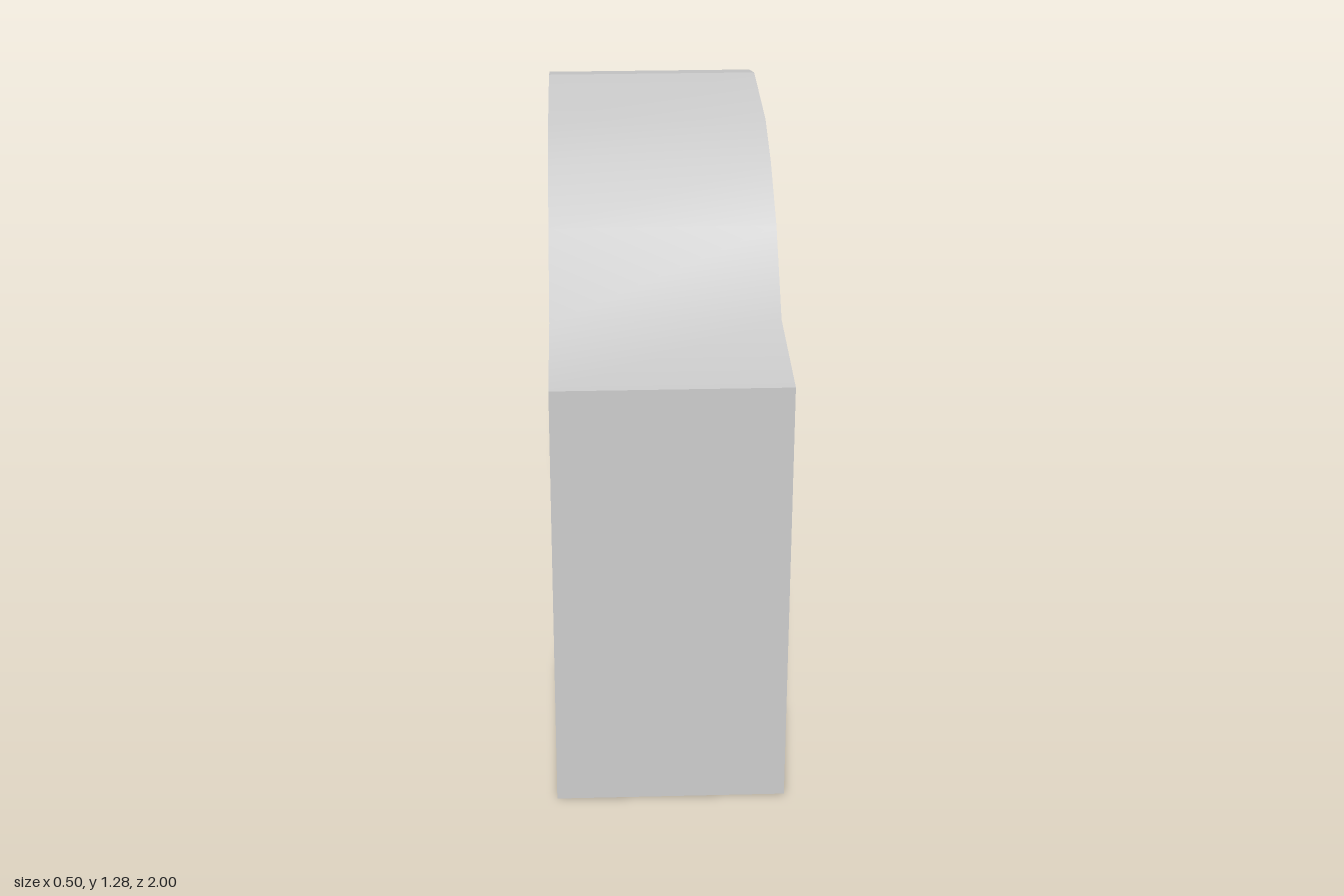
import * as THREE from 'three';

const HALF = 0.25; // half width of the arch in x
const material = new THREE.MeshStandardMaterial({ color: 0xcccccc, side: THREE.DoubleSide });

// Smoothly shaded strip across the width, following a [z, y] profile
function strip(name, points) {
  const pos = [], index = [];
  points.forEach(([z, y], i) => {
    pos.push(-HALF, y, z, HALF, y, z);
    const a = i * 2;
    if (i < points.length - 1) index.push(a, a + 1, a + 3, a, a + 3, a + 2);
  });
  const geometry = new THREE.BufferGeometry();
  geometry.setAttribute('position', new THREE.Float32BufferAttribute(pos, 3));
  geometry.setIndex(index);
  geometry.computeVertexNormals();
  const mesh = new THREE.Mesh(geometry, material);
  mesh.name = name;
  return mesh;
}

// Flat side wall cut to the full arch outline
function sideWall(name, outline, side) {
  const shape = new THREE.Shape(outline.map(([z, y]) => new THREE.Vector2(-side * z, y)));
  const geometry = new THREE.ShapeGeometry(shape);
  geometry.rotateY(side * Math.PI / 2);
  geometry.translate(side * HALF, 0, 0);
  const mesh = new THREE.Mesh(geometry, material);
  mesh.name = name;
  return mesh;
}

export function createModel() {
  const group = new THREE.Group();
  group.name = 'archBridge';

  // Top profile, front to back
  const top = [[1, 1], [0.67, 1], [0.5, 1.15], [0.33, 1.235], [0.17, 1.28],
    [-0.17, 1.28], [-0.33, 1.235], [-0.5, 1.16], [-0.67, 1], [-1, 1]];
  // Underside of the arch, back to front
  const rise = [[-0.5, 0.82], [-0.4, 0.945], [-0.265, 1.065], [-0.17, 1.115]];
  const under = [...rise, [0, 1.155], ...rise.map(([z, y]) => [-z, y]).reverse()];

  // Pillar walls; the feet are left open
  group.add(
    strip('frontPillarOuterWall', [[1, 0], [1, 1]]),
    strip('backPillarOuterWall', [[-1, 1], [-1, 0]]),
    strip('backPillarInnerWall', [[-0.5, 0], [-0.5, 0.82]]),
    strip('frontPillarInnerWall', [[0.5, 0.82], [0.5, 0]]),
  );

  // Rounded front half of the deck, faceted back half
  group.add(strip('frontDeck', top.slice(0, 6)));
  for (let i = 5; i < top.length - 1; i++) group.add(strip('backDeckFacet', top.slice(i, i + 2)));

  group.add(strip('archUnderside', under));

  const outline = [[1, 0], ...top, [-1, 0], [-0.5, 0], ...under, [0.5, 0]];
  group.add(sideWall('leftSideWall', outline, 1), sideWall('rightSideWall', outline, -1));
  return group;
}
